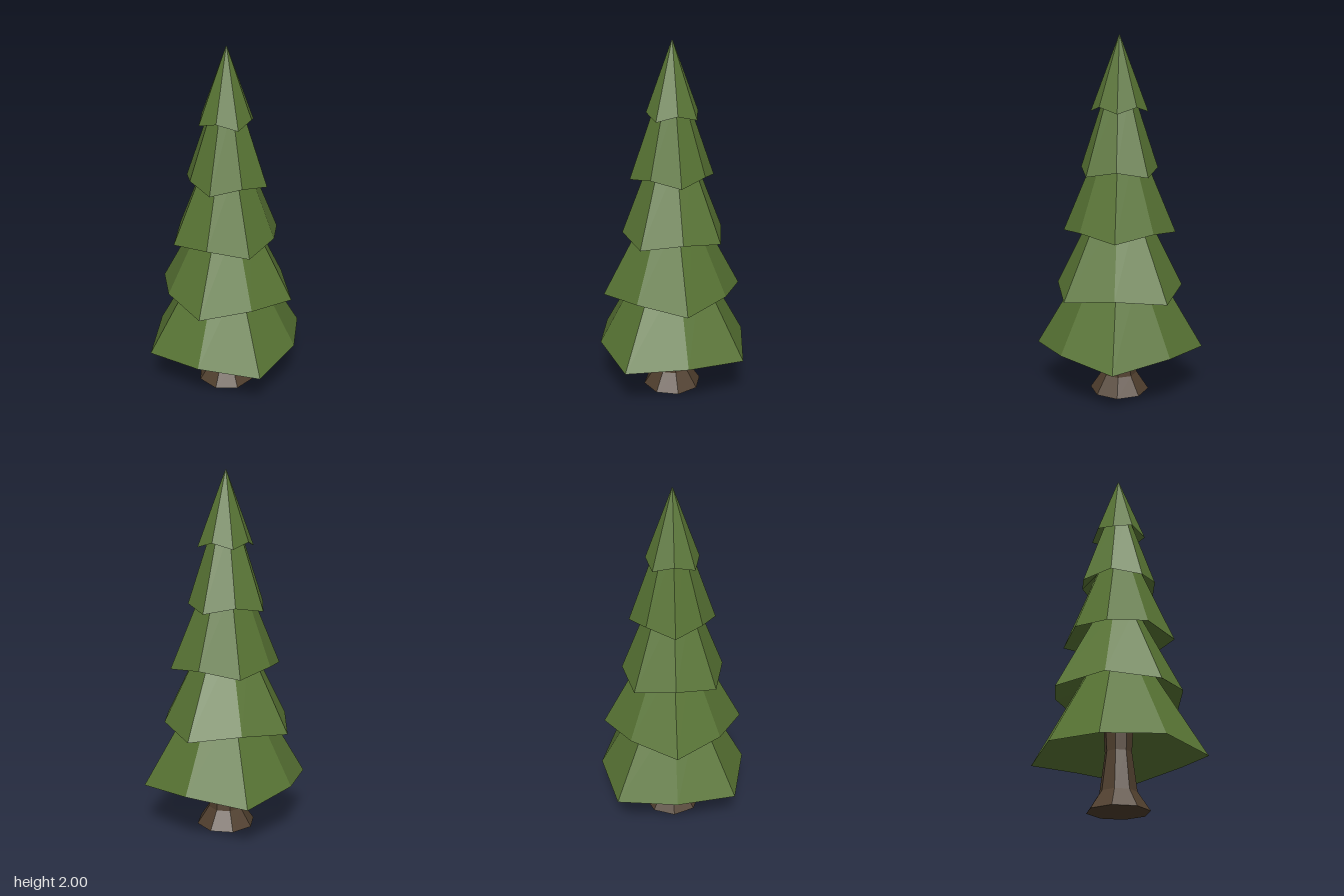
import * as THREE from 'three';

const SIDES = 8;

// Ring: [y on axis corners, radius on axis corners, y on diagonal corners, radius on diagonal corners]
function corner([yA, rA, yD, rD], i) {
  const a = (i / SIDES) * Math.PI * 2;
  const onAxis = i % 2 === 0;
  const r = onAxis ? rA : rD;
  return [r * Math.sin(a), onAxis ? yA : yD, r * Math.cos(a)];
}

const round = (y, r) => [y, r, y, r];

// Faceted skin joining neighbouring rings along the profile
function loft(rings) {
  const pos = [];
  for (let k = 0; k < rings.length - 1; k++) {
    for (let i = 0; i < SIDES; i++) {
      const a = corner(rings[k], i), b = corner(rings[k], i + 1);
      const c = corner(rings[k + 1], i + 1), d = corner(rings[k + 1], i);
      if (rings[k][1] > 0) pos.push(...a, ...b, ...c);
      if (rings[k + 1][1] > 0) pos.push(...a, ...c, ...d);
    }
  }
  const g = new THREE.BufferGeometry();
  g.setAttribute('position', new THREE.Float32BufferAttribute(pos, 3));
  g.computeVertexNormals();
  return g;
}

function part(name, rings, color) {
  const mesh = new THREE.Mesh(loft(rings), new THREE.MeshStandardMaterial({ color, flatShading: true }));
  mesh.name = name;
  return mesh;
}

// One tier: its zigzag rim, and the neck where its flat facets, aimed at an apex, enter the next tier
function tier(rim, neckY, apexY) {
  const [yA, rA, yD, rD] = rim;
  const neckRadius = (y, r) => r * (apexY - neckY) / (apexY - y);
  return [rim, [neckY, neckRadius(yA, rA), neckY, neckRadius(yD, rD)]];
}

export function createModel() {
  const group = new THREE.Group();
  group.name = 'pineTree';

  // Trunk: flared foot, narrow waist, slightly wider where it enters the branches
  group.add(part('trunk', [
    round(0, 0), round(0, 0.167), round(0.1, 0.1), round(0.31, 0.072), round(0.56, 0.086), round(0.56, 0),
  ], 0x503f2e));

  // Foliage: hollow underside rising to the trunk, then five stacked tiers
  group.add(part('foliage', [
    round(0.53, 0.07),
    ...tier([0.268, 0.47, 0.302, 0.418], 0.75, 1.07),
    ...tier([0.633, 0.35, 0.6, 0.392], 1.07, 1.34),
    ...tier([0.934, 0.312, 0.965, 0.28], 1.38, 1.68),
    ...tier([1.295, 0.21, 1.264, 0.234], 1.7, 1.93),
    [1.597, 0.156, 1.628, 0.141], round(2, 0.003), round(2, 0),
  ], 0x587434));

  return group;
}
